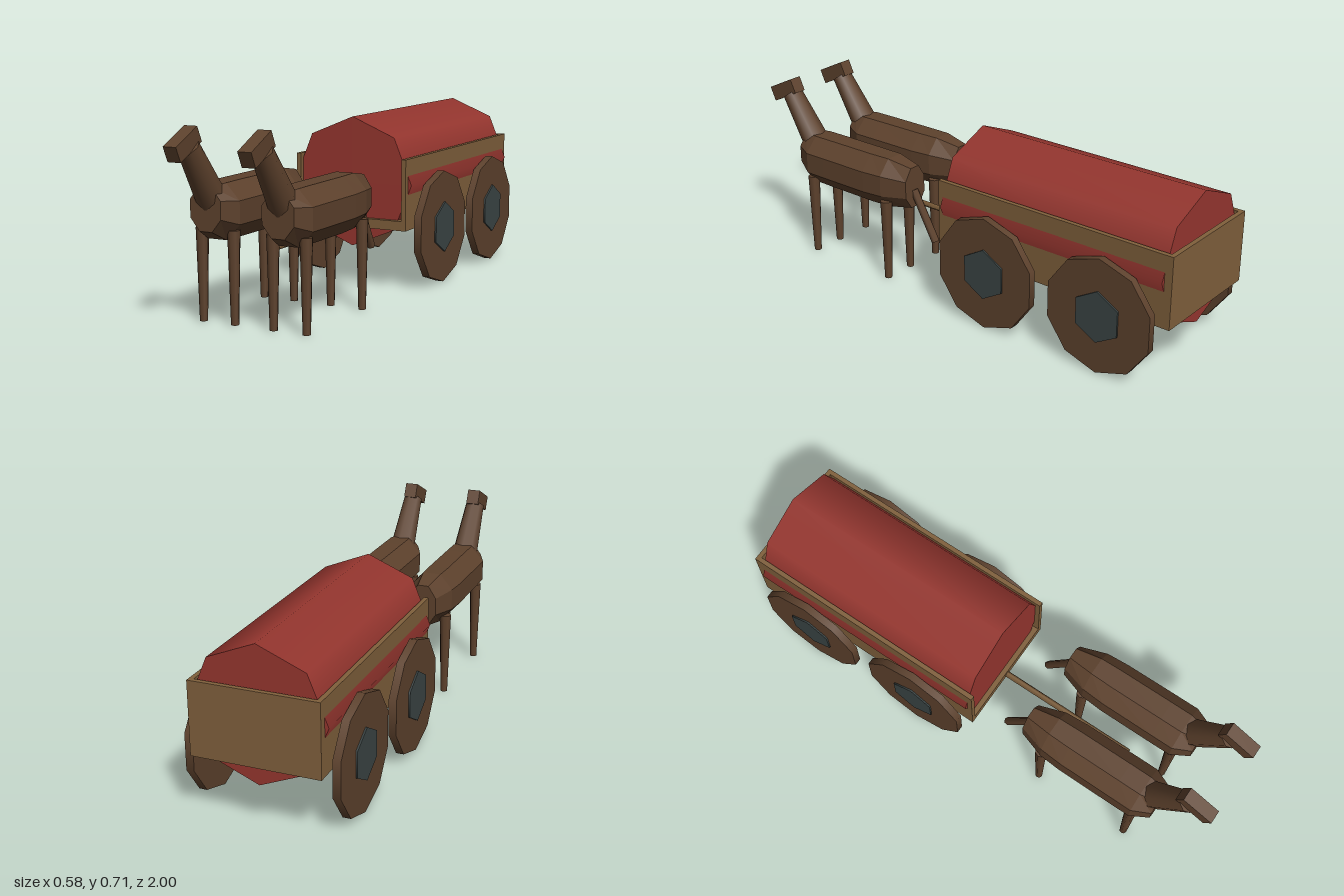
import * as THREE from 'three';

const mat = (name, color) => {
  const m = new THREE.MeshStandardMaterial({ color });
  m.name = name;
  return m;
};

export function createModel() {
  const red = mat('red canvas', 0x96362f);
  const wood = mat('light wood', 0x80603c);
  const brown = mat('dark brown', 0x5e422d);
  const iron = mat('iron grey', 0x3b4545);

  const model = new THREE.Group();
  model.name = 'horseDrawnWagon';

  const add = (parent, name, geometry, material, x = 0, y = 0, z = 0) => {
    const mesh = new THREE.Mesh(geometry, material);
    mesh.name = name;
    mesh.position.set(x, y, z);
    parent.add(mesh);
    return mesh;
  };

  // Tapered rod between two points
  const rod = (parent, name, material, from, to, r0, r1, sides) => {
    const a = new THREE.Vector3(...from), b = new THREE.Vector3(...to);
    const dir = b.clone().sub(a);
    const mesh = add(parent, name, new THREE.CylinderGeometry(r1, r0, dir.length(), sides), material);
    mesh.position.copy(a).add(b).multiplyScalar(0.5);
    mesh.quaternion.setFromUnitVectors(new THREE.Vector3(0, 1, 0), dir.normalize());
    return mesh;
  };

  // Wagon box: floor, two sides and a tailboard, open at the front
  const wagon = new THREE.Group();
  wagon.name = 'wagon';
  model.add(wagon);
  add(wagon, 'floor', new THREE.BoxGeometry(0.44, 0.037, 1.0), wood, 0, 0.2585, -0.48);
  add(wagon, 'tailboard', new THREE.BoxGeometry(0.476, 0.275, 0.018), wood, 0, 0.3775, -0.991);
  for (const s of [1, -1]) {
    add(wagon, s > 0 ? 'leftSide' : 'rightSide',
      new THREE.BoxGeometry(0.018, 0.275, 1.002), wood, s * 0.229, 0.3775, -0.481);
  }

  // Rolled canvas cover
  const canvas = new THREE.CylinderGeometry(0.253, 0.253, 0.97, 8).rotateX(Math.PI / 2);
  add(wagon, 'canvasCover', canvas, red, 0, 0.4145, -0.485);

  // Draw pole
  const pole = new THREE.CylinderGeometry(0.0125, 0.0125, 0.6, 4).rotateX(Math.PI / 2);
  add(wagon, 'drawPole', pole, wood, 0, 0.256, 0.29);

  // Wheels with hubs
  const disc = (r, width, sides) =>
    new THREE.CylinderGeometry(r, r, width, sides, 1, false, Math.PI / 2).rotateZ(Math.PI / 2);
  for (const s of [1, -1]) {
    for (const z of [-0.235, -0.74]) {
      add(wagon, 'wheel', disc(0.223, 0.03, 10), brown, s * 0.27, 0.223, z);
      add(wagon, 'hub', disc(0.1, 0.043, 6), iron, s * 0.27, 0.223, z);
    }
  }

  // Horse body: octagonal sections from rump to chest [z, centre y, half width, half height]
  const sections = [
    [0.225, 0.4, 0.054, 0.083],
    [0.33, 0.4, 0.087, 0.101],
    [0.42, 0.398, 0.093, 0.102],
    [0.64, 0.398, 0.094, 0.101],
    [0.73, 0.398, 0.094, 0.1],
    [0.8, 0.413, 0.062, 0.078],
  ];
  const makeBody = () => {
    const n = sections.length - 1;
    const base = new THREE.CylinderGeometry(1, 1, n, 8, n, false, Math.PI / 8).rotateX(Math.PI / 2);
    const p = base.attributes.position;
    const k = 1 / Math.cos(Math.PI / 8);
    for (let i = 0; i < p.count; i++) {
      const [z, cy, hw, hh] = sections[Math.round(p.getZ(i) + n / 2)];
      p.setXYZ(i, p.getX(i) * hw * k, cy + p.getY(i) * hh * k, z);
    }
    const flat = base.toNonIndexed();
    flat.computeVertexNormals();
    return flat;
  };

  // A horse on each side of the pole
  for (const s of [1, -1]) {
    const horse = new THREE.Group();
    horse.name = s > 0 ? 'leftHorse' : 'rightHorse';
    horse.position.x = s * 0.1435;
    model.add(horse);

    add(horse, 'body', makeBody(), brown);
    rod(horse, 'neck', brown, [0, 0.44, 0.757], [0, 0.637, 0.895], 0.055, 0.04, 8);
    const head = add(horse, 'head', new THREE.BoxGeometry(0.052, 0.06, 0.136), brown, 0, 0.65, 0.925);
    head.rotation.x = 0.447;
    rod(horse, 'tail', brown, [0, 0.385, 0.23], [0, 0.193, 0.122], 0.016, 0.016, 6);
    for (const x of [0.065, -0.065]) {
      for (const z of [0.725, 0.32]) {
        add(horse, 'leg', new THREE.CylinderGeometry(0.0235, 0.0145, 0.335, 8), brown, x, 0.1675, z);
      }
    }
  }

  return model;
}
